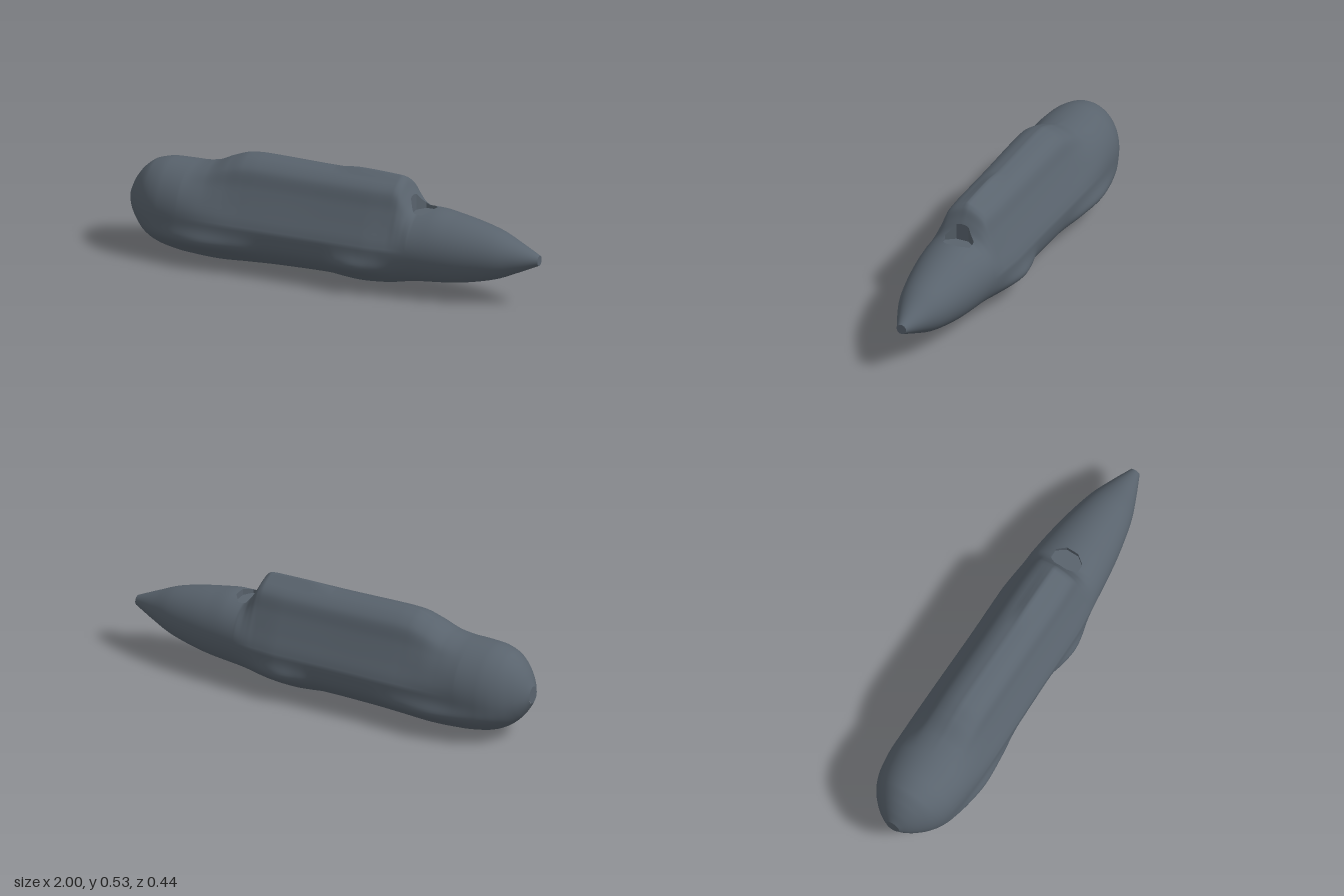
import * as THREE from 'three';

// Smooth interpolation through [x, value] pairs without overshoot
function curve(pts) {
  const n = pts.length;
  const d = pts.slice(1).map((p, i) => (p[1] - pts[i][1]) / (p[0] - pts[i][0]));
  const m = pts.map((p, i) => {
    if (i === 0) return d[0];
    if (i === n - 1) return d[n - 2];
    return d[i - 1] * d[i] <= 0 ? 0 : (2 * d[i - 1] * d[i]) / (d[i - 1] + d[i]);
  });
  return x => {
    let i = 0;
    while (i < n - 2 && x > pts[i + 1][0]) i++;
    const h = pts[i + 1][0] - pts[i][0];
    const t = Math.min(1, Math.max(0, (x - pts[i][0]) / h)), s = 1 - t;
    return s * s * (1 + 2 * t) * pts[i][1] + t * t * (3 - 2 * t) * pts[i + 1][1]
      + h * t * s * (s * m[i] - t * m[i + 1]);
  };
}

// Body lines along the length
const top = curve([[-1, .27], [-.97, .33], [-.93, .38], [-.88, .415], [-.8, .432], [-.68, .434], [-.6, .447],
  [-.5, .492], [-.42, .518], [-.35, .522], [0, .518], [.32, .518], [.345, .505], [.37, .46], [.4, .41],
  [.43, .39], [.5, .391], [.6, .378], [.7, .36], [.8, .335], [.9, .293], [1, .248]]);
const bottom = curve([[-1, .19], [-.98, .155], [-.95, .112], [-.9, .066], [-.85, .04], [-.8, .025], [-.7, .01],
  [-.55, .003], [-.4, .012], [-.25, .02], [0, .025], [.07, .018], [.15, .012], [.25, .018], [.33, .03],
  [.4, .045], [.6, .066], [.7, .085], [.8, .112], [.9, .155], [1, .202]]);
const width = curve([[-1, .035], [-.98, .07], [-.95, .107], [-.9, .15], [-.85, .176], [-.8, .19], [-.7, .202],
  [-.55, .206], [-.3, .204], [0, .2], [.2, .2], [.3, .193], [.4, .182], [.5, .17], [.6, .155],
  [.7, .135], [.8, .109], [.9, .069], [1, .023]]);
const wheelBulge = curve([[-.95, 0], [-.75, .02], [-.58, .035], [-.42, .025], [-.25, .006], [0, .006],
  [.09, .024], [.17, .033], [.25, .024], [.35, .006], [.45, 0]]);
const cabin = curve([[-.7, 0], [-.4, 1], [.32, 1], [.42, 0]]);
const ridge = curve([[0, 0], [.13, .014], [.32, .008], [.36, 0]]);
// Cabin half section: width and height fractions from waist to roof
const cabinZ = curve([[0, 1], [.12, .95], [.32, .8], [.52, .63], [.7, .49], [.86, .24], [1, 0]]);
const cabinY = curve([[0, 0], [.12, .1], [.32, .32], [.52, .58], [.7, .82], [.86, .95], [1, 1]]);

const WAIST = .225;

// Point on the body skin: u runs -1 (keel) to 1 (roof) on the +z half
function skin(x, u) {
  const a = u * Math.PI / 2;
  let z = Math.cos(a), y = Math.sin(a);
  if (u > 0) {
    const c = cabin(x);
    z += (cabinZ(u) - z) * c;
    y += (cabinY(u) - y) * c;
  }
  y = WAIST + y * (u > 0 ? top(x) - WAIST : WAIST - bottom(x));
  z *= width(x);
  if (u < .5) z += wheelBulge(x) * Math.exp(-(((y - .125) / .048) ** 2)) * Math.min(1, z / .05);
  if (u > 0) y += ridge(x) * Math.max(0, 1 - z / .045);
  return [y, z];
}

// Height of the upper skin above (x, z)
function skinHeight(x, z) {
  let lo = .2, hi = 1;
  for (let i = 0; i < 24; i++) {
    const mid = (lo + hi) / 2;
    if (skin(x, mid)[1] > Math.abs(z)) lo = mid; else hi = mid;
  }
  return skin(x, hi)[0];
}

// Eight-sided opening at the foot of the windscreen
const PIT = { x: .432, rx: .052, rz: .071, floor: .36 };
const pitCorner = i => {
  const a = (i + .5) * Math.PI / 4, r = 1 / Math.cos(Math.PI / 8);
  return [PIT.x + PIT.rx * r * Math.cos(a), PIT.rz * r * Math.sin(a)];
};
function pitRadius(x, z) {
  const px = (x - PIT.x) / PIT.rx, pz = z / PIT.rz;
  let r = 0;
  for (let i = 0; i < 8; i++) {
    const a = i * Math.PI / 4;
    r = Math.max(r, px * Math.cos(a) + pz * Math.sin(a));
  }
  return r;
}

function surface(pos, idx) {
  const g = new THREE.BufferGeometry();
  g.setAttribute('position', new THREE.Float32BufferAttribute(pos, 3));
  g.setIndex(idx);
  g.computeVertexNormals();
  return g;
}

function bodyGeometry(nx = 400, nu = 120) {
  const pos = [], inside = [], idx = [];
  for (let i = 0; i <= nx; i++) {
    for (let j = 0; j < nu; j++) {
      const v = (j / nu) * 4, side = v > 2 ? -1 : 1;
      let x = -1 + (2 * i) / nx;
      let [y, z] = skin(x, side > 0 ? v - 1 : 3 - v);
      z *= side;
      const r = y > .3 ? pitRadius(x, z) : 9;
      inside.push(r < 1);
      // Points inside the opening move out to its rim
      if (r < 1 && r > .3) {
        x = PIT.x + (x - PIT.x) / r;
        z /= r;
        y = skinHeight(x, z);
      }
      pos.push(x, y, z);
    }
  }
  const tri = (...t) => { if (!t.every(k => inside[k])) idx.push(...t); };
  for (let i = 0; i < nx; i++) {
    for (let j = 0; j < nu; j++) {
      const k = (j + 1) % nu, a = i * nu + j, b = a + nu, c = (i + 1) * nu + k, d = i * nu + k;
      tri(a, b, c);
      tri(a, c, d);
    }
  }
  return surface(pos, idx);
}

function pitWallGeometry(steps = 8) {
  const pos = [], idx = [];
  for (let i = 0; i < 8; i++) {
    const [x0, z0] = pitCorner(i), [x1, z1] = pitCorner(i + 1);
    for (let s = 0; s <= steps; s++) {
      const t = s / steps, x = x0 + (x1 - x0) * t, z = z0 + (z1 - z0) * t, k = pos.length / 3;
      pos.push(x, skinHeight(x, z), z, x, PIT.floor, z);
      if (s < steps) idx.push(k, k + 2, k + 1, k + 1, k + 2, k + 3);
    }
  }
  return surface(pos, idx);
}

export function createModel() {
  const group = new THREE.Group();
  const paint = new THREE.MeshStandardMaterial({ color: 0x59636d });
  const inner = new THREE.MeshStandardMaterial({ color: 0x59636d, side: THREE.DoubleSide });
  const add = (name, geometry, material = paint) => {
    const mesh = new THREE.Mesh(geometry, material);
    mesh.name = name;
    group.add(mesh);
    return mesh;
  };

  add('bodyShell', bodyGeometry());

  // Opening walls and floor
  add('openingWalls', pitWallGeometry(), inner);
  const floor = new THREE.Shape(Array.from({ length: 8 }, (_, i) => new THREE.Vector2(...pitCorner(i))));
  add('openingFloor', new THREE.ShapeGeometry(floor).rotateX(Math.PI / 2), inner).position.y = PIT.floor;

  // Flat caps at the nose and tail
  for (const [name, x] of [['noseCap', 1], ['tailCap', -1]]) {
    const cap = new THREE.CircleGeometry(1, 60).rotateY(x * Math.PI / 2);
    cap.scale(1, (top(x) - bottom(x)) / 2, width(x));
    add(name, cap).position.set(x, (top(x) + bottom(x)) / 2, 0);
  }
  return group;
}
